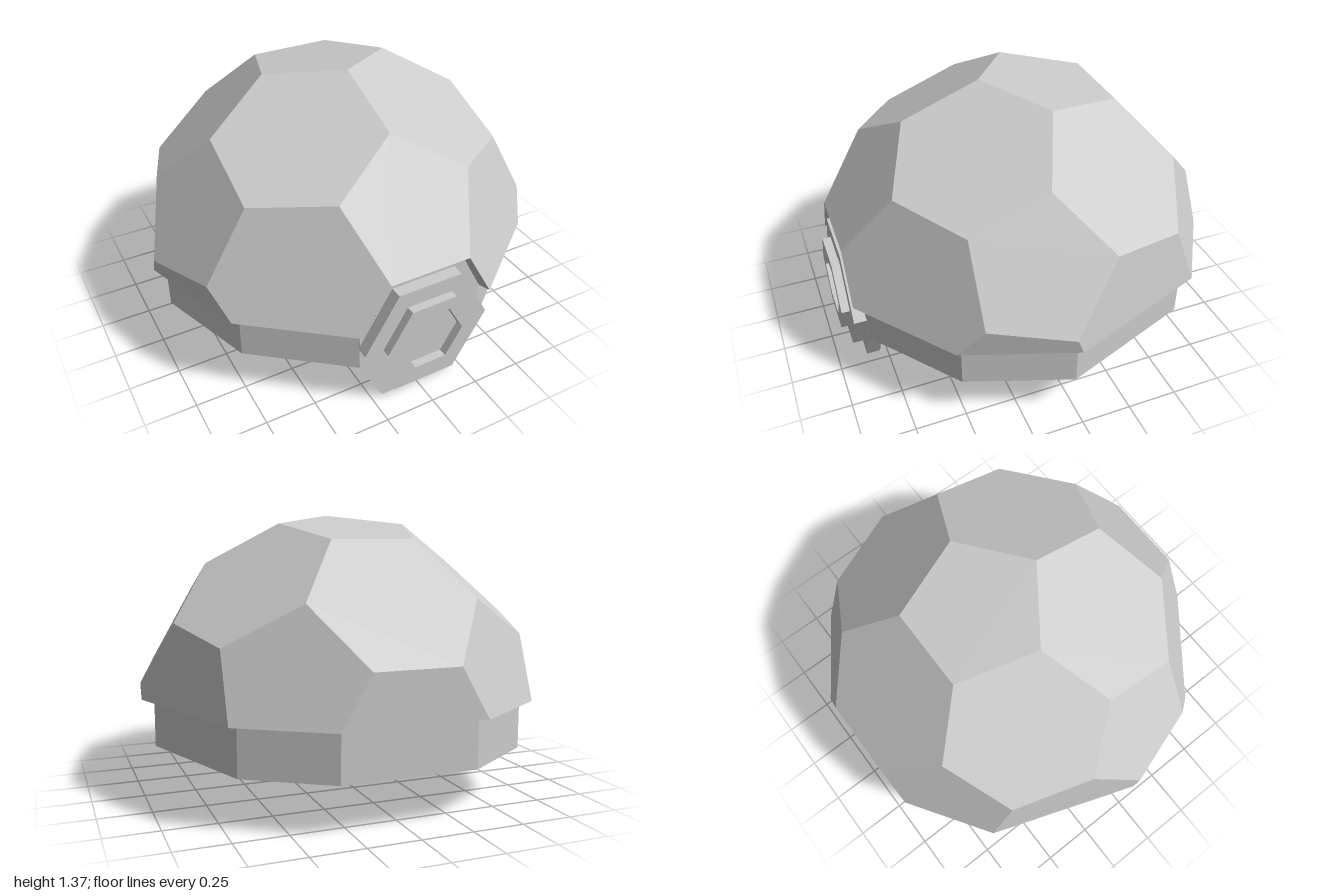
import * as THREE from 'three';
import { toCreasedNormals } from 'three/addons/utils/BufferGeometryUtils.js';

const V = (x, y, z) => new THREE.Vector3(x, y, z);
const CY = 0.36, CZ = -0.022, CUT = 0.475, LOW = 0.24;
const BAND = 0.94, INNER = 0.865;

const flat = new THREE.MeshStandardMaterial({ color: 0xcccccc, flatShading: true, side: THREE.DoubleSide });
const smooth = new THREE.MeshStandardMaterial({ color: 0xcccccc, side: THREE.DoubleSide });

// Fan-triangulates a list of convex polygons
function polygons(polys) {
  const pts = [];
  for (const p of polys)
    for (let i = 1; i < p.length - 1; i++) pts.push(p[0], p[i], p[i + 1]);
  const g = new THREE.BufferGeometry().setFromPoints(pts);
  g.computeVertexNormals();
  return g;
}

// Faces of a truncated icosahedron with one hexagon facing +z
function ballFaces() {
  const ico = [];
  const ring = (polar, start) => {
    for (let k = 0; k < 3; k++) {
      const t = THREE.MathUtils.degToRad(polar), a = THREE.MathUtils.degToRad(start + 120 * k);
      ico.push(V(Math.sin(t) * Math.cos(a), Math.sin(t) * Math.sin(a), Math.cos(t)));
    }
  };
  ring(37.377, 90);
  ring(79.188, 30);
  ring(100.812, 90);
  ring(142.623, 30);
  const near = (i, j) => i !== j && ico[i].dot(ico[j]) > 0.4;
  const third = (i, j) => ico[i].clone().multiplyScalar(2).add(ico[j]).multiplyScalar(1.1726 / 3);
  const faces = [];
  const addFace = (n, pts) => {
    n.normalize();
    const u = pts[0].clone().projectOnPlane(n).normalize(), v = n.clone().cross(u);
    const angle = p => Math.atan2(p.dot(v), p.dot(u));
    pts.sort((a, b) => angle(a) - angle(b));
    faces.push({ n, pts: pts.map(p => p.clone().add(V(0, CY, CZ))) });
  };
  for (let i = 0; i < 12; i++) {
    const around = [...ico.keys()].filter(j => near(i, j));
    addFace(ico[i].clone(), around.map(j => third(i, j)));
    for (const j of around) for (const k of around)
      if (i < j && j < k && near(j, k))
        addFace(ico[i].clone().add(ico[j]).add(ico[k]),
          [third(i, j), third(j, i), third(j, k), third(k, j), third(i, k), third(k, i)]);
  }
  return faces;
}

// Keeps the part of a polygon above the cut height
function clip(poly, rim) {
  const out = [];
  poly.forEach((a, i) => {
    const b = poly[(i + 1) % poly.length];
    if (a.y >= CUT) out.push(a);
    if ((a.y >= CUT) !== (b.y >= CUT)) {
      const p = a.clone().lerp(b, (CUT - a.y) / (b.y - a.y));
      out.push(p);
      if (!rim.some(q => q.distanceTo(p) < 1e-3)) rim.push(p);
    }
  });
  return out;
}

function hexagon(r, Type = THREE.Shape) {
  const pts = [];
  for (let k = 0; k < 6; k++) pts.push(new THREE.Vector2(r * Math.cos(k * Math.PI / 3), r * Math.sin(k * Math.PI / 3)));
  return new Type(pts);
}

export function createModel() {
  const group = new THREE.Group();
  const add = (name, geometry, material = flat) => {
    const m = new THREE.Mesh(geometry, material);
    m.name = name;
    group.add(m);
    return m;
  };

  // Faceted dome, open at the front hexagon
  const rim = [], dome = [];
  for (const { n, pts } of ballFaces()) {
    const p = clip(pts, rim);
    if (p.length > 2 && n.z < 0.99) dome.push(p);
  }
  add('domeShell', polygons(dome));

  // Rim outline, scaled towards the vertical axis
  rim.sort((a, b) => Math.atan2(a.x, a.z - CZ) - Math.atan2(b.x, b.z - CZ));
  const at = (i, s, y) => {
    const p = rim[i % rim.length];
    return V(p.x * s, y, CZ + (p.z - CZ) * s);
  };

  // Lower band, its bottom edge and the step under the dome
  const band = [], step = [];
  for (let i = 0; i < rim.length; i++) {
    const j = i + 1;
    if (at(i, 1, 0).z > 0.8 && at(j, 1, 0).z > 0.8) continue;
    band.push([at(i, BAND, LOW), at(j, BAND, LOW), at(j, BAND, CUT), at(i, BAND, CUT)]);
    band.push([at(i, BAND, LOW), at(i, INNER, LOW), at(j, INNER, LOW), at(j, BAND, LOW)]);
    step.push([at(i, 1, CUT), at(i, BAND, CUT), at(j, BAND, CUT), at(j, 1, CUT)]);
  }
  add('lowerBand', polygons(band));
  add('domeRim', polygons(step));

  // Rounded hollow inside
  const levels = [[INNER, LOW]];
  for (let k = 0; k <= 12; k++) {
    const t = k / 12 * Math.PI / 2;
    levels.push([INNER * Math.cos(t), CUT + 0.77 * Math.sin(t)]);
  }
  const lining = [];
  for (let k = 0; k < levels.length - 1; k++)
    for (let i = 0; i < rim.length; i++) {
      const [s0, y0] = levels[k], [s1, y1] = levels[k + 1];
      const quad = [at(i + 1, s0, y0), at(i, s0, y0), at(i, s1, y1), at(i + 1, s1, y1)];
      lining.push(k === levels.length - 2 ? quad.slice(0, 3) : quad);
    }
  add('innerLining', toCreasedNormals(polygons(lining), 0.35), smooth);

  // Front plate hanging below the band
  const half = [[0.193, 0], [0.323, LOW], [0.323, CUT], [0.193, 0.716]];
  const outline = [...half, ...half.map(([x, y]) => [-x, y]).reverse()];
  const plate = new THREE.ExtrudeGeometry(new THREE.Shape(outline.map(p => new THREE.Vector2(...p))),
    { depth: 0.068, bevelEnabled: false });
  add('frontPlate', plate).position.z = 0.786;

  // Walls of the recess between dome and plate
  const edge = [[0.344, CUT], [0.2055, 0.716], [-0.2055, 0.716], [-0.344, CUT]];
  const walls = [];
  for (let i = 0; i < 3; i++) {
    const [a, b] = [edge[i], edge[i + 1]];
    walls.push([V(a[0], a[1], 0.91), V(b[0], b[1], 0.91), V(b[0] * BAND, b[1], 0.854), V(a[0] * BAND, a[1], 0.854)]);
  }
  add('recessWalls', polygons(walls));

  // Stepped hexagonal boss, the outer step hollowed
  const base = new THREE.ExtrudeGeometry(hexagon(0.33), { depth: 0.064, bevelEnabled: false });
  add('bossBase', base).position.set(0, CY, 0.85);
  const ringShape = hexagon(0.235);
  ringShape.holes.push(hexagon(0.165, THREE.Path));
  const ring = new THREE.ExtrudeGeometry(ringShape, { depth: 0.041, bevelEnabled: false });
  add('bossRing', ring).position.set(0, CY, 0.914);

  return group;
}
